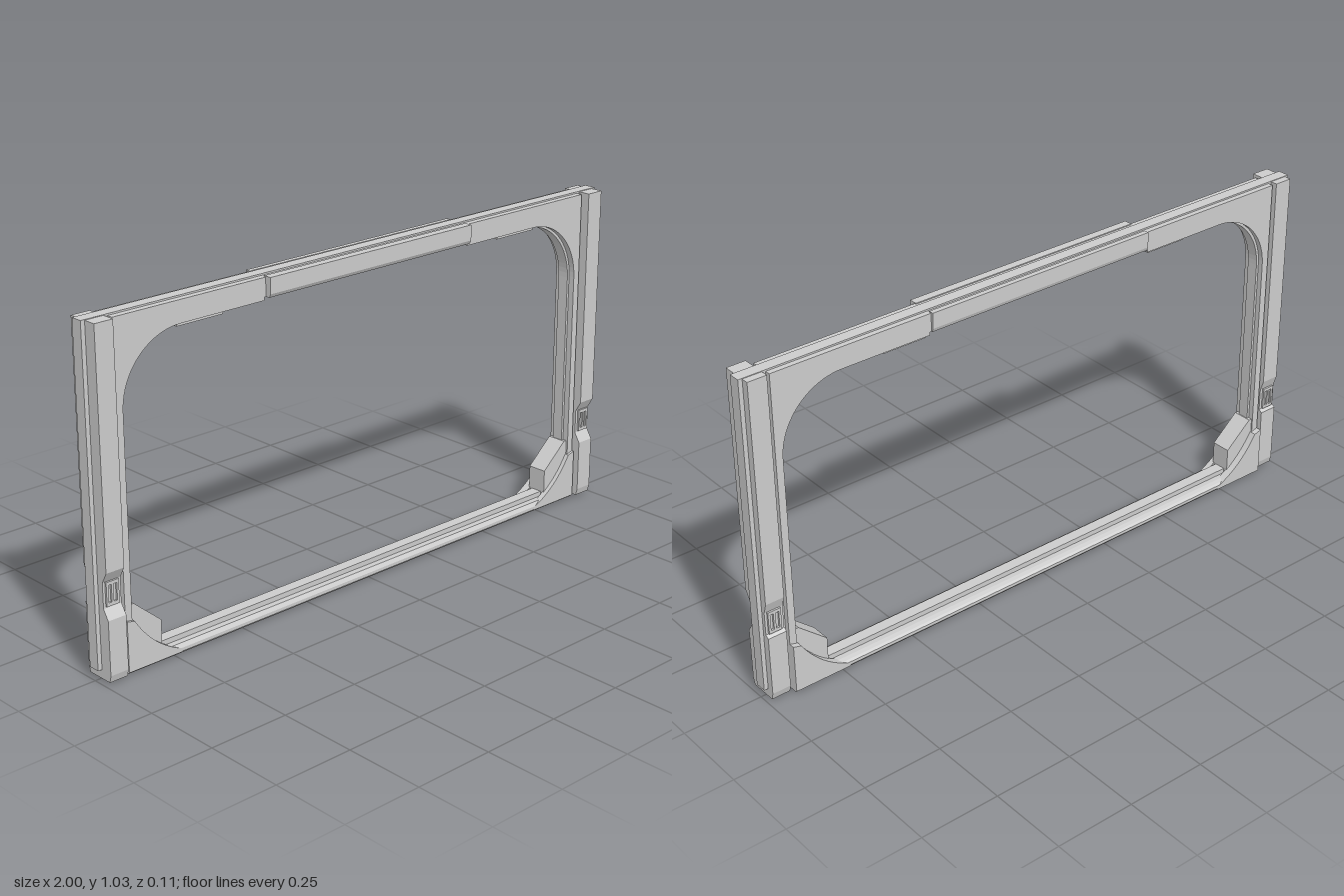
import * as THREE from 'three';

const material = new THREE.MeshStandardMaterial({ color: 0xcccccc, flatShading: true });

function add(parent, name, geometry) {
  const mesh = new THREE.Mesh(geometry, material);
  mesh.name = name;
  parent.add(mesh);
  return mesh;
}

// Box given by its limits on each axis
function box(parent, name, x0, x1, y0, y1, z0, z1) {
  const g = new THREE.BoxGeometry(x1 - x0, y1 - y0, z1 - z0);
  g.translate((x0 + x1) / 2, (y0 + y1) / 2, (z0 + z1) / 2);
  return add(parent, name, g);
}

const toShape = (points) => new THREE.Shape(points.map((p) => new THREE.Vector2(p[0], p[1])));

// Outline in x,y extruded from z0 to z1
function slab(parent, name, shape, z0, z1) {
  const g = new THREE.ExtrudeGeometry(shape, { depth: z1 - z0, bevelEnabled: false, curveSegments: 10 });
  g.translate(0, 0, z0);
  return add(parent, name, g);
}

// Section in z,y extruded from x0 to x1
function bar(parent, name, section, x0, x1) {
  const shape = toShape(section.map(([z, y]) => [-z, y]));
  const g = new THREE.ExtrudeGeometry(shape, { depth: x1 - x0, bevelEnabled: false });
  g.rotateY(Math.PI / 2);
  g.translate(x0, 0, 0);
  return add(parent, name, g);
}

// Rectangular frame layer whose opening has rounded upper corners
function frameLayer(parent, name, outerX, bottom, top, innerX, sill, z0, z1) {
  const shape = toShape([[-outerX, bottom], [outerX, bottom], [outerX, top], [-outerX, top]]);
  const head = 0.96 + (innerX - 0.885) * 0.5;
  const r = 0.2;
  const hole = new THREE.Path();
  hole.moveTo(-innerX, sill);
  hole.lineTo(-innerX, head - r);
  hole.absarc(-innerX + r, head - r, r, Math.PI, Math.PI / 2, true);
  hole.lineTo(-0.4, head);
  hole.lineTo(-0.4, 0.974);
  hole.lineTo(0.4, 0.974);
  hole.lineTo(0.4, head);
  hole.absarc(innerX - r, head - r, r, Math.PI / 2, 0, true);
  hole.lineTo(innerX, sill);
  shape.holes.push(hole);
  return slab(parent, name, shape, z0, z1);
}

// One side post, built for +x
function buildPost() {
  const post = new THREE.Group();
  bar(post, 'postBody', [
    [0.05, 0.008], [0.056, 0.03], [0.056, 0.195], [0.037, 0.225], [0.037, 0.302], [0.056, 0.335],
    [0.056, 1.033], [-0.044, 1.033], [-0.044, 0.335], [-0.033, 0.302], [-0.033, 0.228],
    [-0.044, 0.22], [-0.044, 0.03], [-0.038, 0.008],
  ], 0.927, 0.987);
  box(post, 'sideRib', 0.98, 1, 0.035, 1.035, -0.021, 0.016);

  // Latch in the recess on both faces
  for (const [z0, z1] of [[0.035, 0.043], [-0.039, -0.031]]) {
    const latch = new THREE.Group();
    latch.name = 'latch';
    box(latch, 'latchTop', 0.937, 0.979, 0.292, 0.302, z0, z1);
    box(latch, 'latchBottom', 0.937, 0.979, 0.23, 0.24, z0, z1);
    for (const x of [0.937, 0.955, 0.972]) {
      box(latch, 'latchBar', x, x + 0.007, 0.235, 0.296, z0, z1);
    }
    post.add(latch);
  }

  // Sloping corner block on the sill
  slab(post, 'cornerBlock', toShape([
    [0.9, 0.03], [0.9, 0.205], [0.882, 0.205], [0.79, 0.125], [0.79, 0.03],
  ]), -0.034, 0.03);

  // Curved gussets in front of and behind the block
  const gusset = new THREE.Shape();
  gusset.moveTo(0.916, 0.01);
  gusset.lineTo(0.916, 0.165);
  gusset.lineTo(0.89, 0.158);
  gusset.quadraticCurveTo(0.83, 0.06, 0.73, 0.02);
  gusset.lineTo(0.73, 0.01);
  slab(post, 'frontGusset', gusset, 0.025, 0.044);
  slab(post, 'backGusset', gusset, -0.056, -0.03);

  // Small lips under the head of the frame
  box(post, 'headLip', 0.41, 0.55, 0.956, 0.966, -0.03, -0.012);
  box(post, 'headLip', 0.54, 0.7, 0.954, 0.966, 0.008, 0.026);
  return post;
}

// Mirror a group in x, keeping faces outward
function mirrored(source) {
  const copy = source.clone(true);
  copy.traverse((o) => {
    if (!o.isMesh) return;
    o.geometry = o.geometry.clone().toNonIndexed();
    o.geometry.scale(-1, 1, 1);
    const p = o.geometry.attributes.position;
    for (let i = 0; i < p.count; i += 3) {
      const a = new THREE.Vector3().fromBufferAttribute(p, i + 1);
      const b = new THREE.Vector3().fromBufferAttribute(p, i + 2);
      p.setXYZ(i + 1, b.x, b.y, b.z);
      p.setXYZ(i + 2, a.x, a.y, a.z);
    }
    o.geometry.computeVertexNormals();
  });
  return copy;
}

export function createModel() {
  const model = new THREE.Group();
  model.name = 'windowFrame';

  // Central web and the two face plates
  frameLayer(model, 'frameCore', 0.985, 0.012, 1.035, 0.885, 0.05, -0.021, 0.016);
  frameLayer(model, 'frontPlate', 0.916, 0.012, 1.03, 0.893, 0.034, 0.016, 0.036);
  frameLayer(model, 'backPlate', 0.916, 0.012, 1.03, 0.893, 0.034, -0.038, -0.021);

  // Stepped sill along the bottom
  bar(model, 'sill', [
    [0.04, 0.006], [0.044, 0.012], [0.044, 0.022], [0.036, 0.034], [-0.038, 0.034],
    [-0.05, 0.03], [-0.056, 0.024], [-0.056, 0.014], [-0.05, 0.006],
  ], -0.916, 0.916);
  box(model, 'sillFoot', -0.8, 0.8, 0, 0.01, -0.02, 0.015);

  // Raised header panels at the middle of the top rail
  bar(model, 'frontHeader', [
    [0.03, 0.974], [0.05, 0.974], [0.056, 0.985], [0.056, 1.033], [0.03, 1.033],
  ], -0.395, 0.395);
  bar(model, 'backHeader', [
    [-0.03, 0.974], [-0.042, 0.974], [-0.046, 0.985], [-0.046, 1.033], [-0.03, 1.033],
  ], -0.395, 0.395);

  const left = buildPost();
  left.name = 'leftPost';
  const right = mirrored(left);
  right.name = 'rightPost';
  model.add(left, right);
  return model;
}
